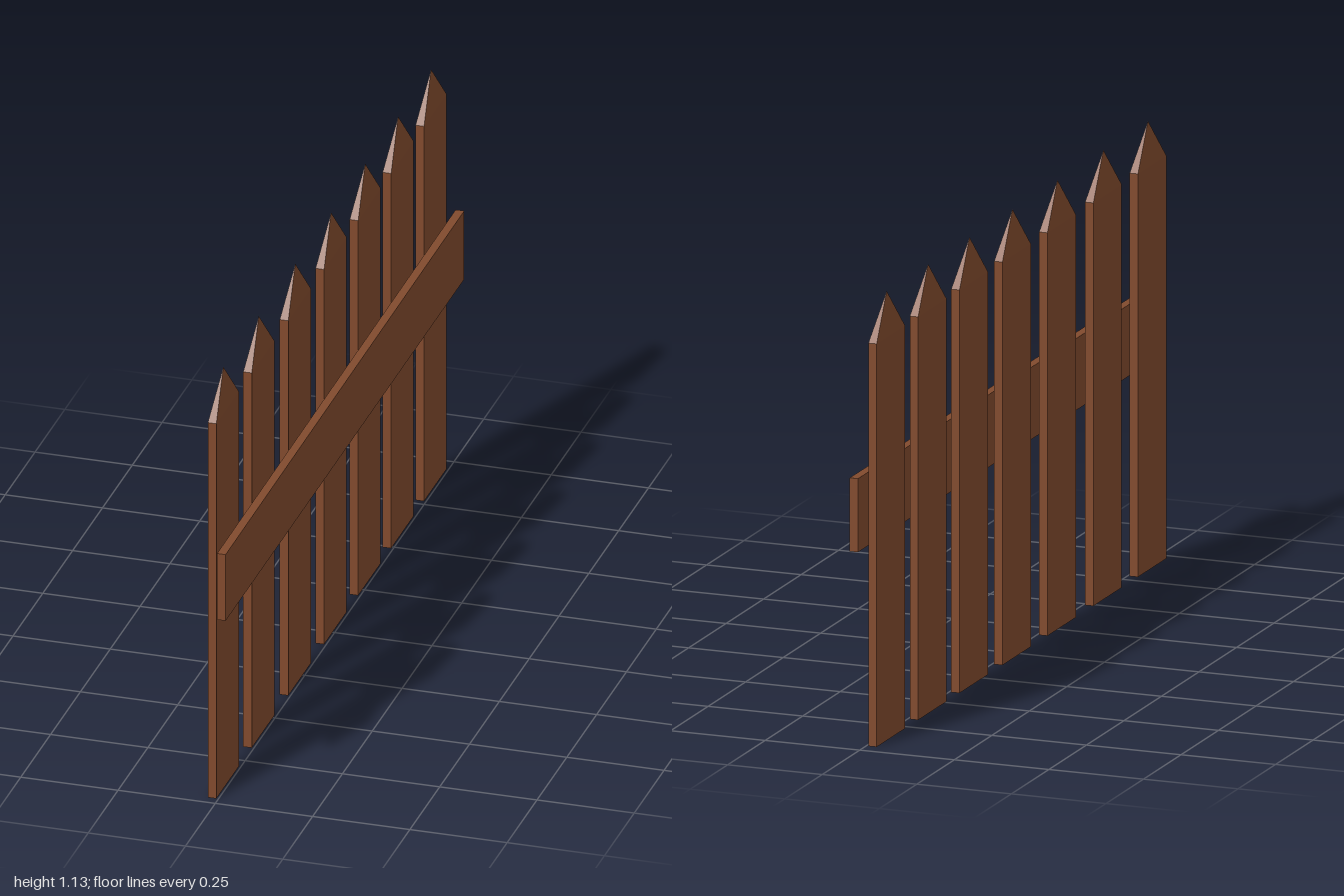
import * as THREE from 'three';
import { mergeGeometries } from 'three/addons/utils/BufferGeometryUtils.js';

const PICKET = { width: 0.189, depth: 0.022, shoulder: 1.025, height: 1.135, x: -0.0165 };
const PICKET_Z = [0.879, 0.582, 0.276, -0.024, -0.31, -0.586, -0.862];

// Flat board topped by a shallow four-sided point
function picketGeometry() {
  const { width, depth, shoulder, height } = PICKET;
  const board = new THREE.BoxGeometry(depth, shoulder, width).translate(0, shoulder / 2, 0);
  const point = new THREE.ConeGeometry(Math.SQRT1_2, 1, 4, 1, true)
    .rotateY(Math.PI / 4)
    .translate(0, 0.5, 0)
    .scale(depth, height - shoulder, width)
    .translate(0, shoulder, 0);
  const merged = mergeGeometries([board.toNonIndexed(), point.toNonIndexed()]);
  merged.computeVertexNormals();
  return merged;
}

// Long board whose top edge rises slightly towards the back
function railGeometry() {
  const bottom = 0.503;
  const geometry = new THREE.BoxGeometry(0.022, 1, 2);
  const p = geometry.attributes.position;
  for (let i = 0; i < p.count; i++) {
    const top = p.getZ(i) > 0 ? 0.684 : 0.69;
    p.setY(i, p.getY(i) > 0 ? top : bottom);
  }
  geometry.computeVertexNormals();
  return geometry;
}

export function createModel() {
  const wood = new THREE.MeshStandardMaterial({ color: 0x814a2d, flatShading: true });
  wood.name = 'brown wood';

  const fence = new THREE.Group();
  fence.name = 'picketFence';

  // Row of pickets
  const shape = picketGeometry();
  PICKET_Z.forEach((z, i) => {
    const picket = new THREE.Mesh(shape, wood);
    picket.name = `picket${i + 1}`;
    picket.position.set(PICKET.x, 0, z);
    fence.add(picket);
  });

  // Crossing rail
  const rail = new THREE.Mesh(railGeometry(), wood);
  rail.name = 'rail';
  rail.position.x = 0.0155;
  fence.add(rail);

  return fence;
}
